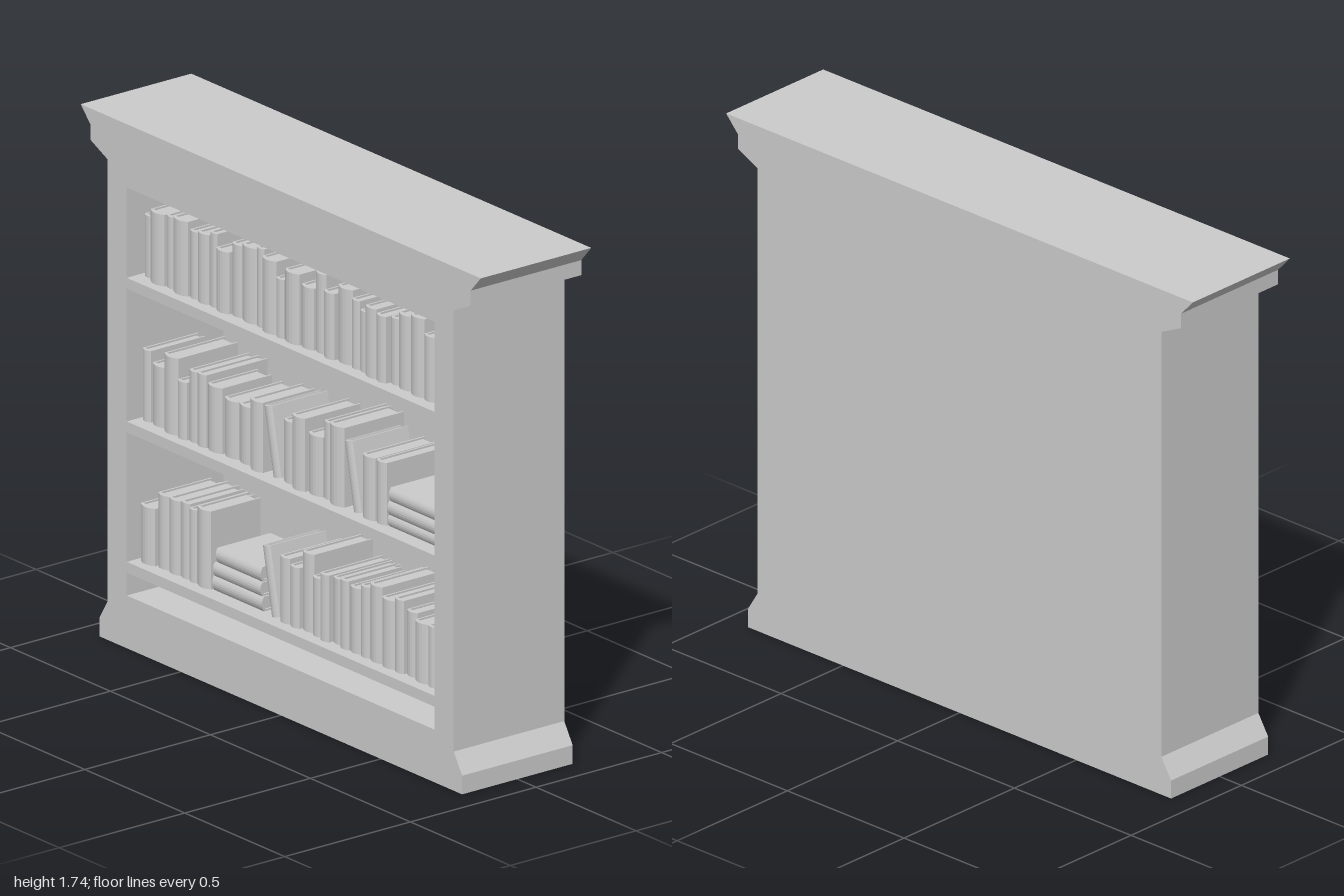
import * as THREE from 'three';

const material = new THREE.MeshStandardMaterial({ color: 0xcccccc, flatShading: true });

// small seeded generator: value between a and b
let seed = 7;
function rand(a, b) {
  seed = (seed * 16807) % 2147483647;
  return a + (b - a) * (seed / 2147483647);
}

function addMesh(parent, name, geometry) {
  const mesh = new THREE.Mesh(geometry, material);
  mesh.name = name;
  parent.add(mesh);
  return mesh;
}

function box(x0, x1, y0, y1, z0, z1) {
  return new THREE.BoxGeometry(x1 - x0, y1 - y0, z1 - z0)
    .translate((x0 + x1) / 2, (y0 + y1) / 2, (z0 + z1) / 2);
}

// case dimensions; the open side faces -x
const OPEN_X = -0.22, BACK_X = 0.165, REAR_X = 0.22;
const INNER_Z = 0.77, FLOOR_Y = 0.175, HEAD_Y = 1.53;
const SPINE_X = -0.172;

// half outline with plinth and cornice, mirrored in z
function caseShape() {
  const half = [[0.907, 0], [0.907, 0.062], [0.865, 0.13], [0.865, 1.595],
    [0.95, 1.635], [0.95, 1.685], [1, 1.74]];
  const mirrored = half.map(([z, y]) => [-z, y]).reverse();
  return new THREE.Shape([...half, ...mirrored].map(([z, y]) => new THREE.Vector2(z, y)));
}

// extrude a z-y outline between two x positions
function extrudeX(shape, x0, x1) {
  return new THREE.ExtrudeGeometry(shape, { depth: x1 - x0, bevelEnabled: false })
    .translate(0, 0, -x1).rotateY(-Math.PI / 2);
}

// upright book: rounded spine towards -x, base at y = 0, thickness along z
function makeBook(height, thickness, depth) {
  const book = new THREE.Group();
  book.name = 'book';
  const t = thickness / 2, c = 0.006;
  const plan = new THREE.Shape();
  plan.moveTo(depth, -t);
  plan.lineTo(depth, -t + c);
  plan.lineTo(c, -t + c);
  plan.lineTo(c, t - c);
  plan.lineTo(depth, t - c);
  plan.lineTo(depth, t);
  plan.lineTo(0, t);
  plan.quadraticCurveTo(-t * 0.7, 0, 0, -t);
  addMesh(book, 'cover', new THREE.ExtrudeGeometry(plan,
    { depth: height, bevelEnabled: false, curveSegments: 6 }).rotateX(-Math.PI / 2));
  addMesh(book, 'pages', box(c, depth - 0.008, 0.006, height - 0.006, -t + c, t - c));
  return book;
}

function randomBook() {
  const h = rand(0.19, 0.265), t = rand(0.035, 0.075), d = rand(0.19, 0.25);
  return { h, t, d, mesh: makeBook(h, t, d) };
}

// fill one shelf from -z to +z following a list of [kind, end z]
function fillShelf(y, layout) {
  const row = new THREE.Group();
  row.name = 'bookRow';
  let z = -0.755;
  for (const [kind, end] of layout) {
    if (kind === 'stand') {
      while (z < end - 0.03) {
        const { t, mesh } = randomBook();
        mesh.position.set(SPINE_X + rand(-0.008, 0.012), y, z + t / 2);
        row.add(mesh);
        z += t + 0.002;
      }
    } else if (kind === 'lean') {
      const a = 0.2, h = 0.23, t = 0.04;
      const mesh = makeBook(h, t, 0.22);
      mesh.rotation.x = -a;
      mesh.position.set(SPINE_X, y + t / 2 * Math.sin(a), z + h * Math.sin(a) + t / 2);
      row.add(mesh);
      z += h * Math.sin(a) + t + 0.004;
    } else if (kind === 'stack') {
      let top = y;
      for (let i = 0; i < 3; i++) {
        const t = rand(0.036, 0.05), h = end - z - 0.01 - i * 0.012;
        const mesh = makeBook(h, t, 0.23 - i * 0.01);
        mesh.rotation.x = Math.PI / 2;
        mesh.position.set(SPINE_X + rand(-0.005, 0.015), top + t / 2, z + 0.005 + i * 0.006);
        row.add(mesh);
        top += t;
      }
      z = end;
    }
  }
  return row;
}

export function createModel() {
  seed = 7;
  const model = new THREE.Group();
  model.name = 'bookcase';

  // moulded frame with the opening, and the solid rear panel
  const frame = caseShape();
  frame.holes.push(new THREE.Path([[-INNER_Z, FLOOR_Y], [-INNER_Z, HEAD_Y],
    [INNER_Z, HEAD_Y], [INNER_Z, FLOOR_Y]].map(([z, y]) => new THREE.Vector2(z, y))));
  addMesh(model, 'caseFrame', extrudeX(frame, OPEN_X, BACK_X));
  addMesh(model, 'rearPanel', extrudeX(caseShape(), BACK_X, REAR_X));

  // shelves and their books
  const shelves = [
    [0.287, [['stand', -0.4], ['stack', -0.15], ['lean'], ['stand', 0.725]]],
    [0.753, [['stand', -0.12], ['lean'], ['stand', 0.27], ['lean'], ['stand', 0.47], ['stack', 0.745]]],
    [1.23, [['stand', 0.725]]],
  ];
  for (const [y, layout] of shelves) {
    addMesh(model, 'shelf', box(OPEN_X, BACK_X, y - 0.036, y, -INNER_Z, INNER_Z));
    model.add(fillShelf(y, layout));
  }
  return model;
}
